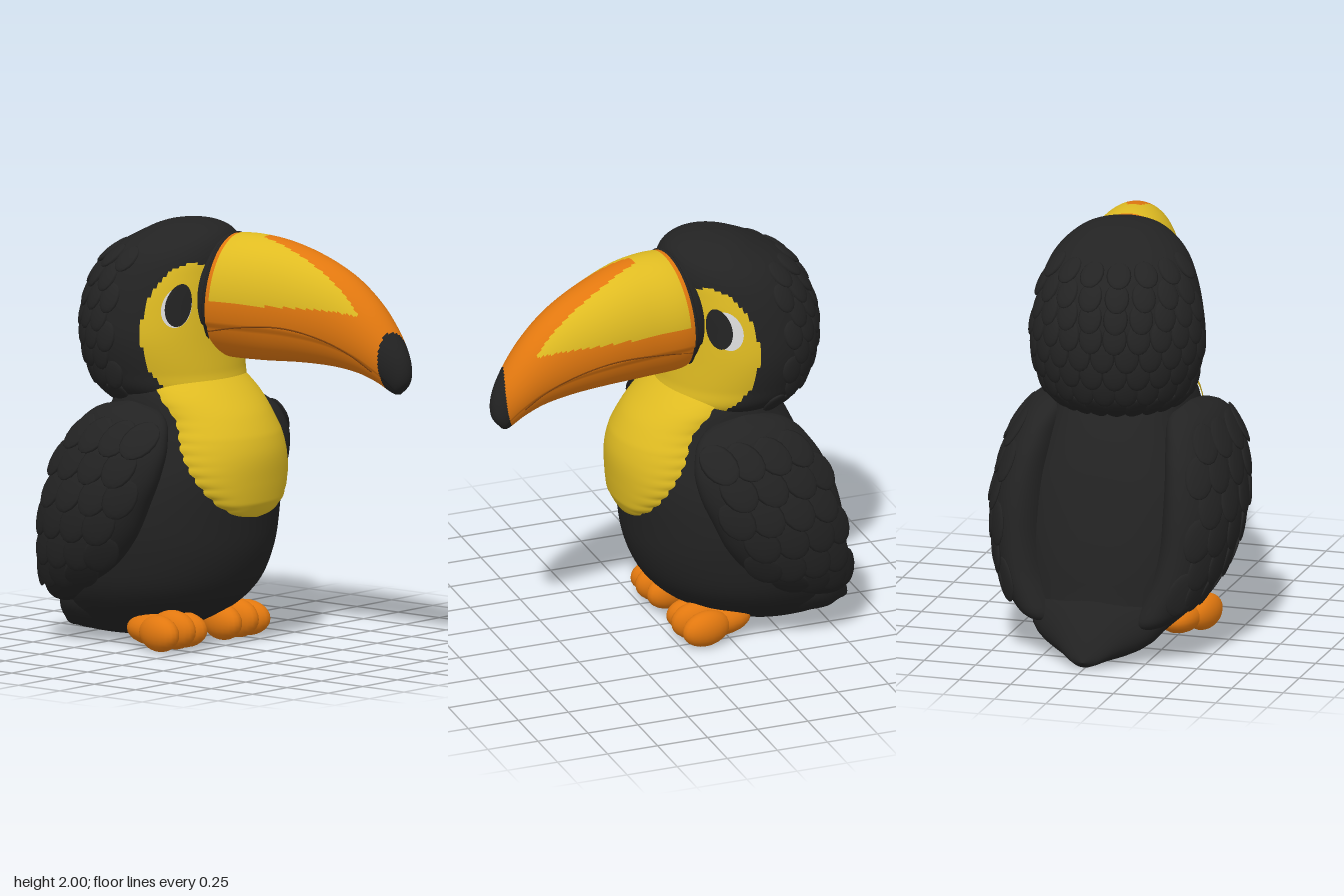
import * as THREE from 'three';
import { mergeGeometries } from 'three/addons/utils/BufferGeometryUtils.js';

const V = (x, y, z) => new THREE.Vector3(x, y, z);
const mat = (name, color) => Object.assign(new THREE.MeshStandardMaterial({ color }), { name });
const RAD = Math.PI / 180;

// Smoothly interpolated row of a table whose first column is the ascending key
function row(table, k) {
  const last = table.length - 1;
  k = Math.min(Math.max(k, table[0][0]), table[last][0]);
  let i = 0;
  while (i < last - 1 && k > table[i + 1][0]) i++;
  const slope = (n, c) => {
    const a = table[Math.max(n - 1, 0)], b = table[Math.min(n + 1, last)];
    return (b[c] - a[c]) / (b[0] - a[0]);
  };
  const p = table[i], q = table[i + 1], h = q[0] - p[0], t = (k - p[0]) / h, t2 = t * t, t3 = t2 * t;
  return p.map((_, c) => c === 0 ? k :
    (2 * t3 - 3 * t2 + 1) * p[c] + (t3 - 2 * t2 + t) * h * slope(i, c) +
    (3 * t2 - 2 * t3) * q[c] + (t3 - t2) * h * slope(i + 1, c));
}

// Grid surface from fn(u, v); pick(u, v) chooses the material index of each cell
function surface(fn, nu, nv, closed, pick = () => 0) {
  const pos = [], cells = [], cols = closed ? nv : nv + 1;
  for (let i = 0; i <= nu; i++)
    for (let j = 0; j < cols; j++) pos.push(...fn(i / nu, j / nv).toArray());
  for (let i = 0; i < nu; i++) for (let j = 0; j < nv; j++) {
    const k = (j + 1) % cols, a = i * cols + j, b = i * cols + k;
    const m = pick((i + 0.5) / nu, (j + 0.5) / nv);
    (cells[m] ||= []).push(a, b, b + cols, a, b + cols, a + cols);
  }
  const g = new THREE.BufferGeometry(), index = [];
  g.setAttribute('position', new THREE.Float32BufferAttribute(pos, 3));
  cells.forEach((list, m) => {
    g.addGroup(index.length, list.length, m);
    for (const n of list) index.push(n);
  });
  g.setIndex(index);
  g.computeVertexNormals();
  return g;
}

// Height spacing that is finer at both ends, and its inverse
const ease = (lo, hi, u) => lo + (hi - lo) * (1 - Math.cos(Math.PI * u)) / 2;
const unease = (lo, hi, y) => Math.acos(1 - 2 * (y - lo) / (hi - lo)) / Math.PI;

// Point on an oval ring: row = [y, half width, front z, back z], azimuth from +z to +x.
// A power below 1 squares off the back half.
function oval([y, rx, zf, zb], az, power = 1) {
  const s = Math.sin(az), c = Math.cos(az), e = c < 0 ? power : 1;
  const pw = (n) => Math.sign(n) * Math.pow(Math.abs(n), e);
  return V(rx * pw(s), y, (zf + zb) / 2 + (zf - zb) / 2 * pw(c));
}

// Flattened feather lying on surface fn at (u, v), pointing along dir
function feather(fn, u, v, dir, w, l, t) {
  const e = 0.004, p = fn(u, v);
  const n = fn(u, v + e).sub(fn(u, v - e)).cross(fn(u + e, v).sub(fn(u - e, v))).normalize();
  const y = dir.clone().addScaledVector(n, -dir.dot(n)).normalize().addScaledVector(n, 0.1).normalize().negate();
  const x = y.clone().cross(n).normalize(), z = x.clone().cross(y);
  const m = new THREE.Matrix4().makeBasis(x, y, z).setPosition(p);
  return new THREE.SphereGeometry(1, 12, 8).scale(w, l, t).applyMatrix4(m);
}

const BODY = [[0.015, 0, -0.55, -0.6], [0.03, 0.15, -0.36, -0.78], [0.08, 0.24, -0.22, -0.82],
  [0.14, 0.31, -0.09, -0.83], [0.2, 0.375, 0, -0.82], [0.3, 0.43, 0.09, -0.8], [0.45, 0.46, 0.155, -0.78],
  [0.6, 0.47, 0.18, -0.75], [0.8, 0.445, 0.205, -0.7], [0.95, 0.39, 0.205, -0.65], [1.1, 0.34, 0.15, -0.58],
  [1.2, 0.32, 0.07, -0.52], [1.32, 0.26, -0.06, -0.45]];
const BIB = [[0.63, 0], [0.645, 13], [0.7, 27], [0.8, 41], [0.95, 56], [1.1, 62], [1.2, 72], [1.31, 80]];
const HEAD = [[1.1, 0, 0.05, 0], [1.13, 0.2, 0.3, -0.15], [1.2, 0.33, 0.38, -0.28], [1.3, 0.375, 0.375, -0.345],
  [1.45, 0.405, 0.365, -0.375], [1.6, 0.395, 0.365, -0.365], [1.75, 0.36, 0.37, -0.305], [1.86, 0.305, 0.37, -0.21],
  [1.94, 0.215, 0.335, -0.07], [1.98, 0.125, 0.26, 0.03], [2, 0, 0.15, 0.15]];
// height, centre x, centre z, half thickness, half length
const WING = [[0.16, 0.24, -0.74, 0, 0], [0.2, 0.275, -0.71, 0.08, 0.1], [0.3, 0.34, -0.62, 0.12, 0.19],
  [0.4, 0.39, -0.54, 0.135, 0.255], [0.55, 0.425, -0.465, 0.145, 0.305], [0.7, 0.435, -0.415, 0.15, 0.33],
  [0.85, 0.425, -0.36, 0.14, 0.34], [1, 0.395, -0.315, 0.125, 0.31], [1.13, 0.345, -0.29, 0.085, 0.2],
  [1.17, 0.31, -0.3, 0, 0]];
// step, top z, top y, bottom z, bottom y, half width, centre x
const BEAK = [[-1, -0.15, 1.88, -0.2, 1.4, 0.18, 0.03], [0, 0, 1.94, -0.05, 1.36, 0.235, 0.07],
  [1, 0.2, 1.94, 0.15, 1.355, 0.225, 0.1], [2, 0.4, 1.89, 0.35, 1.36, 0.195, 0.14],
  [3, 0.6, 1.8, 0.52, 1.355, 0.16, 0.17], [4, 0.75, 1.68, 0.66, 1.335, 0.13, 0.19],
  [5, 0.86, 1.54, 0.76, 1.3, 0.1, 0.205], [6, 0.92, 1.42, 0.82, 1.265, 0.068, 0.215],
  [7, 0.925, 1.32, 0.85, 1.25, 0.04, 0.22], [8, 0.875, 1.25, 0.875, 1.25, 0, 0.22]];
// distance behind, half width, bottom, top
const TAIL = [[0.4, 0.22, 0.02, 0.25], [0.6, 0.32, 0.015, 0.4], [0.75, 0.3, 0.015, 0.36],
  [0.85, 0.16, 0.015, 0.22], [0.92, 0.05, 0.015, 0.08], [0.935, 0, 0.04, 0.04]];

export function createModel() {
  const black = mat('black plumage', 0x232323), yellow = mat('yellow', 0xe0bc22);
  const orange = mat('orange', 0xe2780f), white = mat('eye white', 0xdcdcdc), brown = mat('mouth brown', 0x7c3f0a);
  const model = new THREE.Group();
  model.name = 'bird';
  const add = (name, geo, material, parent = model) => {
    const m = new THREE.Mesh(geo, material);
    m.name = name;
    parent.add(m);
    return m;
  };

  // Body with a broad back, and tail
  add('body', surface((u, v) => oval(row(BODY, ease(0.015, 1.32, u)), v * 2 * Math.PI, 0.8), 48, 64, true), black);
  add('tail', surface((u, v) => {
    const [d, w, lo, hi] = row(TAIL, 0.4 + 0.535 * u), a = v * 2 * Math.PI;
    return V(w * Math.sin(a), (lo + hi) / 2 + (hi - lo) / 2 * Math.cos(a), -d);
  }, 24, 32, true), black);

  // Bib: a raised shell with a scalloped edge over the chest
  add('bib', surface((u, v) => {
    const y = 0.63 + 0.68 * Math.pow(u, 1.4), w = v * 2 - 1;
    const az = w * RAD * (row(BIB, y)[1] + 2 * Math.abs(Math.sin(y * 60)) * Math.min(1, u * 8));
    const lift = 0.006 + 0.032 * (1 - Math.pow(Math.abs(w), 6)) * Math.min(1, u * 5) * Math.min(1, (1 - u) * 3);
    return oval(row(BODY, y), az).add(V(Math.sin(az) * lift, 0, Math.cos(az) * lift));
  }, 72, 40, false), yellow);

  // Wings with overlapping feathers
  for (const s of [1, -1]) {
    const wing = new THREE.Group();
    wing.name = s > 0 ? 'leftWing' : 'rightWing';
    model.add(wing);
    const fn = (u, v) => {
      const [y, cx, cz, rx, rz] = row(WING, ease(0.16, 1.17, u));
      const a = s * v * 2 * Math.PI, p = rx * Math.sin(a), q = rz * Math.cos(a), c = Math.cos(0.15), d = Math.sin(0.15);
      return V(s * (cx + p * c + q * d), y, cz - p * d + q * c);
    };
    add('wingShell', surface(fn, 36, 40, true), black, wing);
    const feathers = [];
    [1.02, 0.89, 0.75, 0.61, 0.47, 0.36].forEach((y, r) => {
      for (let k = 0; k < 4; k++) {
        const deg = 42 + (k + (r % 2) * 0.5) * 28;
        feathers.push(feather(fn, unease(0.16, 1.17, y), s * deg / 360, V(0, -0.8, -0.6), 0.08, 0.11, 0.015));
      }
    });
    add('wingFeathers', mergeGeometries(feathers), black, wing);
  }

  // Head, turned a little to its left, with yellow cheeks
  const head = new THREE.Group();
  head.name = 'head';
  head.position.z = -0.37;
  head.rotation.y = 10 * RAD;
  model.add(head);
  const headAt = (u, v) => oval(row(HEAD, ease(1.1, 2, u)), (v * 2 - 1) * Math.PI);
  const cheek = (u, v) => {
    const y = ease(1.1, 2, u), az = Math.abs(v * 2 - 1) * 180;
    const aroundEye = (Math.abs(az - 44) / 30) ** 2.4 + (Math.abs(y - 1.5) / 0.32) ** 2.4 < 1;
    const throat = y < 1.5 && az < Math.min(72, 50 + (y - 1.18) * 160);
    return aroundEye || throat ? 1 : 0;
  };
  add('skull', surface(headAt, 96, 144, true, cheek), [black, yellow], head);
  const crest = [];
  for (let r = 0; r < 8; r++) {
    const y = 1.2 + r * 0.09, n = 10 - Math.max(0, r - 4);
    for (let k = 0; k < n; k++) {
      const deg = 95 + (k + 0.5 + (r % 2) * 0.5) * 170 / (n + 0.5);
      crest.push(feather(headAt, unease(1.1, 2, y), deg / 360 + 0.5, V(0, -1, -0.2), 0.058, 0.075, 0.016));
    }
  }
  add('headFeathers', mergeGeometries(crest), black, head);

  // Eyes: thin curved discs on the cheeks
  const disc = (az0, y0, ra, ry, lift) => surface((u, v) => {
    const t = -v * 2 * Math.PI, az = (az0 + u * ra * Math.cos(t)) * RAD;
    return oval(row(HEAD, y0 + u * ry * Math.sin(t)), az).add(V(Math.sin(az) * lift, 0, Math.cos(az) * lift));
  }, 6, 32, true);
  for (const [whiteAz, pupilAz] of [[53, 47], [-50, -49]]) {
    add('eyeWhite', disc(whiteAz, 1.62, 11, 0.095, 0.006), white, head);
    add('pupil', disc(pupilAz, 1.63, 9.5, 0.1, 0.011), black, head);
  }

  // Beak: yellow sides, orange ridge, jaw and rim, black tip; its base is set square to the turned head
  const beakAt = (t, a) => {
    const [, tz, ty, bz, by, hw, cx] = row(BEAK, t), f = (1 + Math.cos(a)) / 2;
    const x = hw * (f < 0.3 ? 0.96 : 1) * Math.sin(a);
    return V(cx + x, by + (ty - by) * f, bz + (tz - bz) * f - x * 0.15 * Math.min(1, Math.max(0, 1 - t / 4)));
  };
  const paint = (u, v) => {
    const t = -1 + 9 * u, a = -v * 2 * Math.PI, f = (1 + Math.cos(a)) / 2;
    if (t < 0 || t + 1.1 * f - 0.35 * Math.sin(a) > 6.1) return 0;
    const ridge = t > 0.9 && f > 0.5 && Math.abs(Math.sin(a)) < 0.15 + 0.2 * (t - 0.9);
    const side = t > 0.15 && t < 4.4 && f > 0.5 + 0.035 * Math.max(0, t - 1) ** 2;
    return side && !ridge ? 2 : 1;
  };
  add('beak', surface((u, v) => beakAt(-1 + 9 * u, -v * 2 * Math.PI), 144, 128, true, paint), [black, orange, yellow]);

  // Mouth line on both sides and dark seam at the beak base
  for (const s of [1, -1]) {
    const pts = [0.24, 0.31, 0.345, 0.33, 0.3, 0.25].map((f, t) => beakAt(t, s * Math.acos(2 * f - 1)));
    add('mouthLine', new THREE.TubeGeometry(new THREE.CatmullRomCurve3(pts), 48, 0.004, 6), brown);
  }
  const seam = Array.from({ length: 24 }, (_, i) => beakAt(-0.03, i / 24 * 2 * Math.PI));
  add('beakSeam', new THREE.TubeGeometry(new THREE.CatmullRomCurve3(seam, true), 72, 0.008, 6, true), black);

  // Feet: three fanned toes joined by a broad heel
  for (const s of [1, -1]) {
    const foot = new THREE.Group();
    foot.name = s > 0 ? 'leftFoot' : 'rightFoot';
    foot.position.set(s * 0.228 - 0.025, 0, 0);
    model.add(foot);
    for (const k of [-1, 0, 1]) {
      const toe = add('toe', new THREE.SphereGeometry(1, 20, 14), orange, foot);
      toe.scale.set(0.068, k ? 0.085 : 0.092, 0.125);
      toe.position.set(k * 0.085, k ? 0.09 : 0.1, k ? -0.12 : -0.105);
      toe.rotation.y = k * 0.22;
    }
    const heel = add('heel', new THREE.SphereGeometry(1, 20, 14), orange, foot);
    heel.scale.set(0.1, 0.078, 0.17);
    heel.position.set(0, 0.09, -0.2);
  }
  return model;
}
